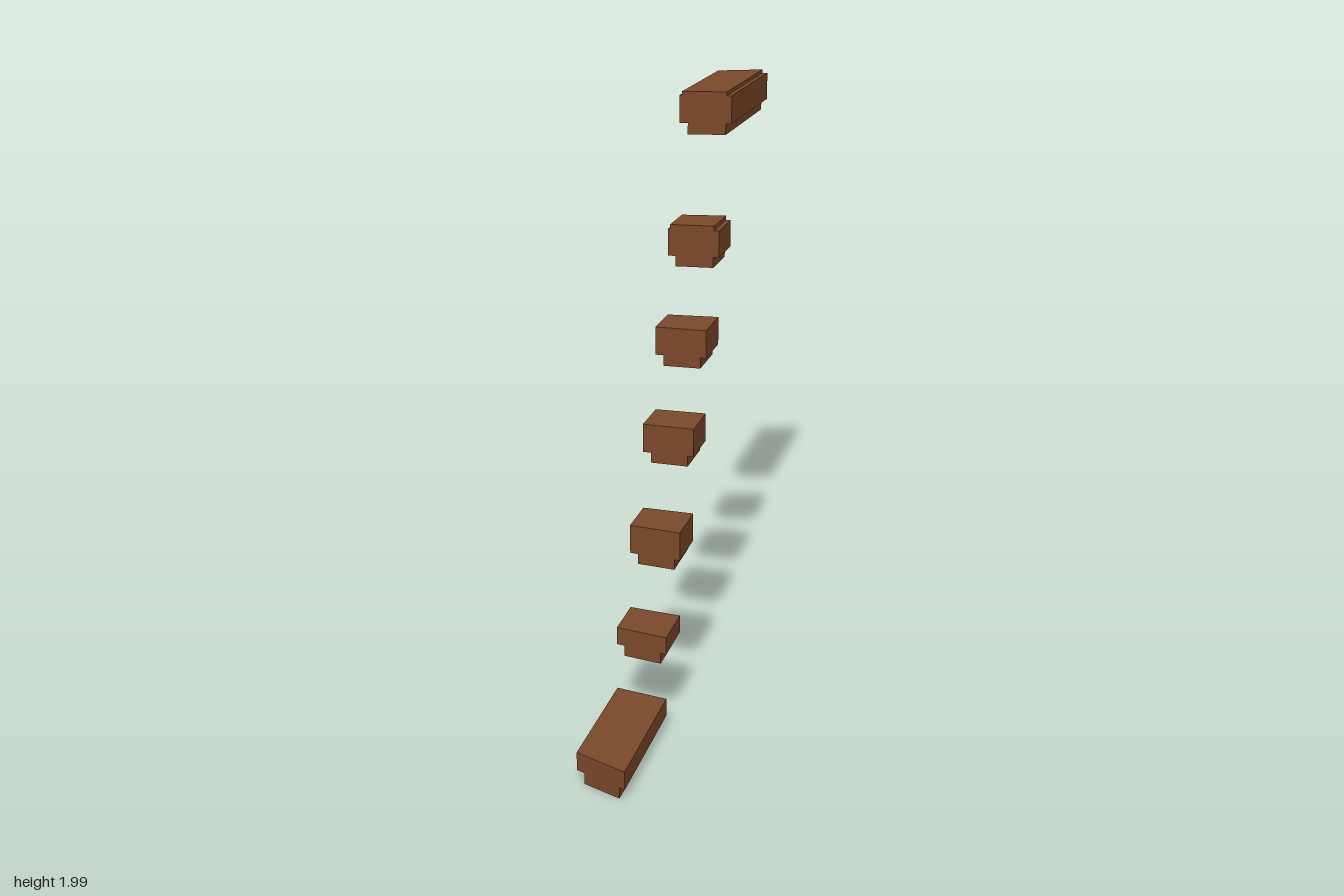
import * as THREE from 'three';

const HALF = 0.09; // half width of the flight

// Slanted joint lines between steps, front to back: z at the right (-x) and left (+x) sides
const joints = [
  [0.92, 1.0], [0.463, 0.5], [0.295, 0.32], [0.127, 0.137],
  [-0.04, -0.038], [-0.208, -0.22], [-0.373, -0.4], [-0.92, -1.0],
];

// Heights of each step: base bottom, tread bottom, tread top, optional cap top
const levels = [
  [0, 0.038, 0.1],
  [0.225, 0.262, 0.323],
  [0.488, 0.524, 0.624],
  [0.793, 0.829, 0.929],
  [1.09, 1.128, 1.227],
  [1.403, 1.44, 1.535, 1.551],
  [1.838, 1.877, 1.975, 1.988],
];

// Side limits of the base, tread and cap layers
const layers = [
  { name: 'base', x0: -0.062, x1: 0.07 },
  { name: 'tread', x0: -HALF, x1: HALF },
  { name: 'cap', x0: -0.082, x1: 0.073 },
];

const zAt = ([zr, zl], x) => zr + (zl - zr) * (x + HALF) / (2 * HALF);

// Prism between two joint lines, clipped to a width and a height range
function slab(front, back, { x0, x1 }, y0, y1) {
  const shape = new THREE.Shape([
    new THREE.Vector2(x0, -zAt(front, x0)),
    new THREE.Vector2(x1, -zAt(front, x1)),
    new THREE.Vector2(x1, -zAt(back, x1)),
    new THREE.Vector2(x0, -zAt(back, x0)),
  ]);
  return new THREE.ExtrudeGeometry(shape, { depth: y1 - y0, bevelEnabled: false })
    .rotateX(-Math.PI / 2)
    .translate(0, y0, 0);
}

export function createModel() {
  const model = new THREE.Group();
  model.name = 'floatingSteps';
  const wood = new THREE.MeshStandardMaterial({ color: 0x7a482a });
  wood.name = 'brown wood';

  levels.forEach((ys, i) => {
    const step = new THREE.Group();
    step.name = `step${i + 1}`;
    for (let k = 0; k < ys.length - 1; k++) {
      const mesh = new THREE.Mesh(
        slab(joints[i], joints[i + 1], layers[k], ys[k], ys[k + 1]), wood);
      mesh.name = layers[k].name;
      step.add(mesh);
    }
    model.add(step);
  });
  return model;
}
